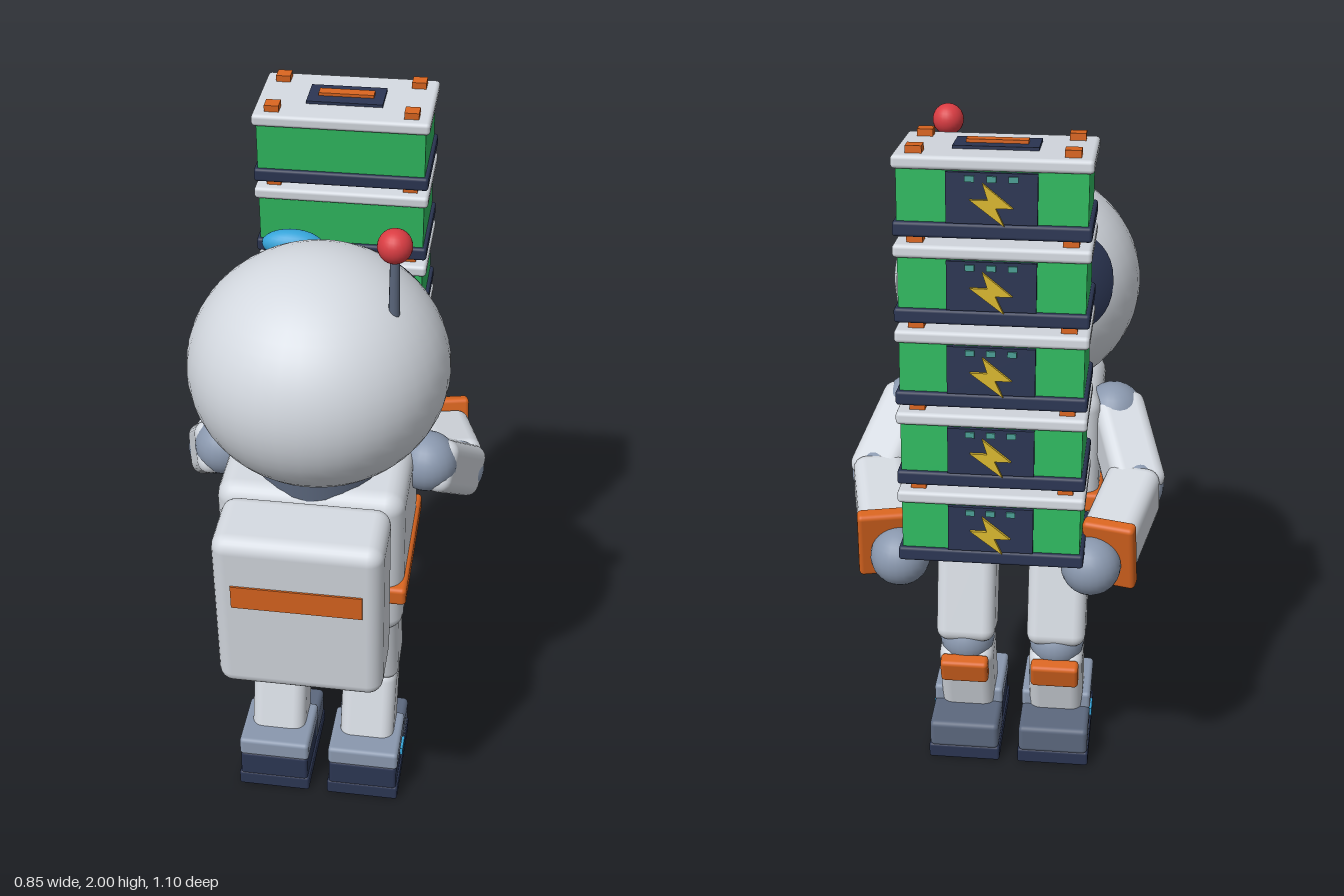
import * as THREE from 'three';
import { RoundedBoxGeometry } from 'three/addons/geometries/RoundedBoxGeometry.js';
import { ParametricGeometry } from 'three/addons/geometries/ParametricGeometry.js';

const mat = (name, color, side = THREE.FrontSide) => {
  const m = new THREE.MeshStandardMaterial({ color, side });
  m.name = name;
  return m;
};
const M = {
  white: mat('suitWhite', 0xd3d8df),
  slate: mat('jointSlate', 0x8a98ae),
  dark: mat('darkSlate', 0x5c687e),
  navy: mat('navy', 0x2b3552, THREE.DoubleSide),
  orange: mat('orange', 0xd8641f),
  green: mat('crateGreen', 0x2fb85f),
  red: mat('antennaRed', 0xd93c42),
  blue: mat('lightBlue', 0x35a3d8),
  yellow: mat('boltYellow', 0xd6b42e),
  teal: mat('dotTeal', 0x4a9c92),
};
const LEAN = 0.085; // backward lean of body and crates

function add(parent, name, geometry, material, pos = [0, 0, 0], rx = 0) {
  const mesh = new THREE.Mesh(geometry, material);
  mesh.name = name;
  mesh.position.set(...pos);
  mesh.rotation.x = rx;
  parent.add(mesh);
  return mesh;
}
const box = (w, h, d) => new THREE.BoxGeometry(w, h, d);
const round = (w, h, d, r) => new RoundedBoxGeometry(w, h, d, 3, r);
const ball = (r) => new THREE.SphereGeometry(r, 24, 16);
const group = (parent, name) => {
  const g = new THREE.Group();
  g.name = name;
  parent.add(g);
  return g;
};

// Rounded box running from a to b, extended a little past each end
function limb(parent, name, a, b, w, h, extra, r = 0.035) {
  const A = new THREE.Vector3(...a), B = new THREE.Vector3(...b);
  const mesh = add(parent, name, round(w, h, A.distanceTo(B) + extra * 2, r), M.white);
  mesh.position.copy(A).lerp(B, 0.5);
  mesh.lookAt(B);
  return mesh;
}

function buildHead(root) {
  const head = group(root, 'head');
  head.position.set(0, 1.452, 0.163);
  add(head, 'helmet', new THREE.SphereGeometry(1, 40, 28), M.white).scale.set(0.335, 0.305, 0.337);

  // Visor: a rounded oval patch bulging slightly from the helmet
  const visor = new ParametricGeometry((u, v, p) => {
    const a = u * Math.PI * 2, c = Math.cos(a), s = Math.sin(a);
    const lon = 0.92 * v * Math.sign(c) * Math.abs(c) ** 0.8;
    const lat = 0.54 * v * Math.sign(s) * Math.abs(s) ** 0.8;
    const r = 1.006 + 0.035 * (1 - v * v);
    p.set(r * Math.sin(lon) * Math.cos(lat), r * Math.sin(lat), -r * Math.cos(lon) * Math.cos(lat));
    p.applyAxisAngle(new THREE.Vector3(1, 0, 0), 0.4);
    p.set(p.x * 0.335, p.y * 0.305, p.z * 0.337);
  }, 48, 12);
  add(head, 'visor', visor, M.navy);
  add(head, 'visorGlint', ball(1), M.blue, [-0.12, 0.173, -0.32]).scale.set(0.083, 0.04, 0.037);

  // Antenna
  add(head, 'antennaStem', new THREE.CylinderGeometry(0.011, 0.014, 0.22, 12), M.dark, [0.2, 0.305, 0.118], LEAN);
  add(head, 'antennaBall', ball(0.042), M.red, [0.2, 0.4, 0.13]);
}

function buildBody(root) {
  const body = group(root, 'body');
  body.position.set(0, 0.953, 0.132);
  body.rotation.x = LEAN;
  add(body, 'torso', round(0.49, 0.465, 0.395, 0.05), M.white);
  add(body, 'belt', round(0.512, 0.055, 0.412, 0.012), M.orange, [0, -0.08, 0], 0.01);
  add(body, 'chestPanel', round(0.26, 0.16, 0.03, 0.01), M.dark, [0, 0.08, -0.197]);
  add(body, 'neck', new THREE.CylinderGeometry(0.17, 0.17, 0.06, 24), M.dark, [0, 0.24, 0.02]);
  add(body, 'backpack', round(0.435, 0.495, 0.205, 0.04), M.white, [0, -0.016, 0.302]);
  add(body, 'backpackStripe', box(0.335, 0.07, 0.012), M.orange, [0, 0.058, 0.403]);
}

function buildArm(root, s) {
  const arm = group(root, s > 0 ? 'leftArm' : 'rightArm');
  const shoulder = [s * 0.285, 1.11, 0.055], elbow = [s * 0.348, 0.985, -0.125], wrist = [s * 0.285, 0.935, -0.385];
  add(arm, 'shoulderJoint', ball(0.082), M.slate, [s * 0.277, 1.115, 0.055]);
  limb(arm, 'upperArm', shoulder, elbow, 0.145, 0.145, 0.035);
  add(arm, 'elbowJoint', ball(0.076), M.slate, elbow);
  const fore = limb(arm, 'forearm', elbow, wrist, 0.145, 0.15, 0.005);
  // Cuff shares the forearm's direction
  const cuff = add(arm, 'cuff', round(0.135, 0.2, 0.04, 0.012), M.orange, [s * 0.292, 0.936, -0.4]);
  cuff.quaternion.copy(fore.quaternion);
  add(arm, 'hand', ball(0.077), M.slate, [s * 0.245, 0.916, -0.432]);
}

function buildLeg(root, s) {
  const x = s * 0.133, leg = group(root, s > 0 ? 'leftLeg' : 'rightLeg');
  add(leg, 'hipJoint', ball(0.087), M.slate, [x, 0.69, 0.1]);
  limb(leg, 'thigh', [x, 0.7, 0.1], [x, 0.38, 0.016], 0.172, 0.158, 0.01);
  add(leg, 'kneeJoint', ball(0.08), M.slate, [x, 0.365, 0.018]);
  limb(leg, 'shin', [x, 0.355, 0.016], [x, 0.12, 0.078], 0.16, 0.15, 0.01);
  add(leg, 'kneePad', round(0.14, 0.082, 0.045, 0.012), M.orange, [x, 0.302, -0.062], -0.26);

  // Boot
  const boot = group(leg, 'boot');
  add(boot, 'sole', round(0.212, 0.048, 0.322, 0.008), M.navy, [x, 0.024, 0.053]);
  add(boot, 'heel', round(0.202, 0.085, 0.185, 0.01), M.navy, [x, 0.082, 0.12]);
  add(boot, 'toeCap', round(0.206, 0.088, 0.146, 0.015), M.dark, [x, 0.084, -0.035]);
  add(boot, 'bootCuff', round(0.208, 0.06, 0.196, 0.012), M.slate, [x, 0.145, 0.113]);
  add(boot, 'bootLight', box(0.009, 0.025, 0.055), M.blue, [x + s * 0.104, 0.088, 0.07]);
}

// Lightning mark for the crate fronts
const boltShape = new THREE.Shape([
  [0.02, 0.048], [-0.05, -0.008], [-0.01, -0.008], [-0.03, -0.05], [0.05, 0.01], [0.008, 0.01],
].map(([x, y]) => new THREE.Vector2(x, y)));
const boltGeo = new THREE.ExtrudeGeometry(boltShape, { depth: 0.009, bevelEnabled: false });

function buildCrate(parent, y) {
  const crate = group(parent, 'crate');
  crate.position.y = y;
  add(crate, 'crateBody', box(0.44, 0.15, 0.25), M.green);
  add(crate, 'crateBase', round(0.46, 0.036, 0.27, 0.008), M.navy, [0, -0.078, 0]);
  add(crate, 'crateLid', round(0.462, 0.032, 0.272, 0.01), M.white, [0, 0.077, 0]);
  add(crate, 'crateUnderside', box(0.4, 0.004, 0.22), M.green, [0, -0.0965, 0]);
  for (const sx of [-1, 1])
    for (const sz of [-1, 1])
      add(crate, 'lidStud', box(0.038, 0.02, 0.038), M.orange, [sx * 0.181, 0.1, sz * 0.091]);
  add(crate, 'handlePlate', box(0.2, 0.009, 0.102), M.navy, [0, 0.096, 0]);
  add(crate, 'handle', box(0.145, 0.009, 0.03), M.orange, [0, 0.104, 0]);
  // Front marking
  add(crate, 'markPanel', box(0.21, 0.118, 0.012), M.navy, [0, 0, -0.13]);
  add(crate, 'bolt', boltGeo, M.yellow, [0, -0.012, -0.145]);
  for (const i of [-1, 0, 1])
    add(crate, 'markDot', box(0.022, 0.014, 0.006), M.teal, [i * 0.05, 0.045, -0.138]);
}

export function createModel() {
  const root = new THREE.Group();
  root.name = 'robotCourier';
  buildHead(root);
  buildBody(root);
  for (const s of [-1, 1]) {
    buildArm(root, s);
    buildLeg(root, s);
  }
  // Leaning stack of five crates
  const stack = group(root, 'crateStack');
  stack.position.set(0, 1.055, -0.4);
  stack.rotation.x = LEAN;
  for (let i = 0; i < 5; i++) buildCrate(stack, i * 0.2075);
  return root;
}
